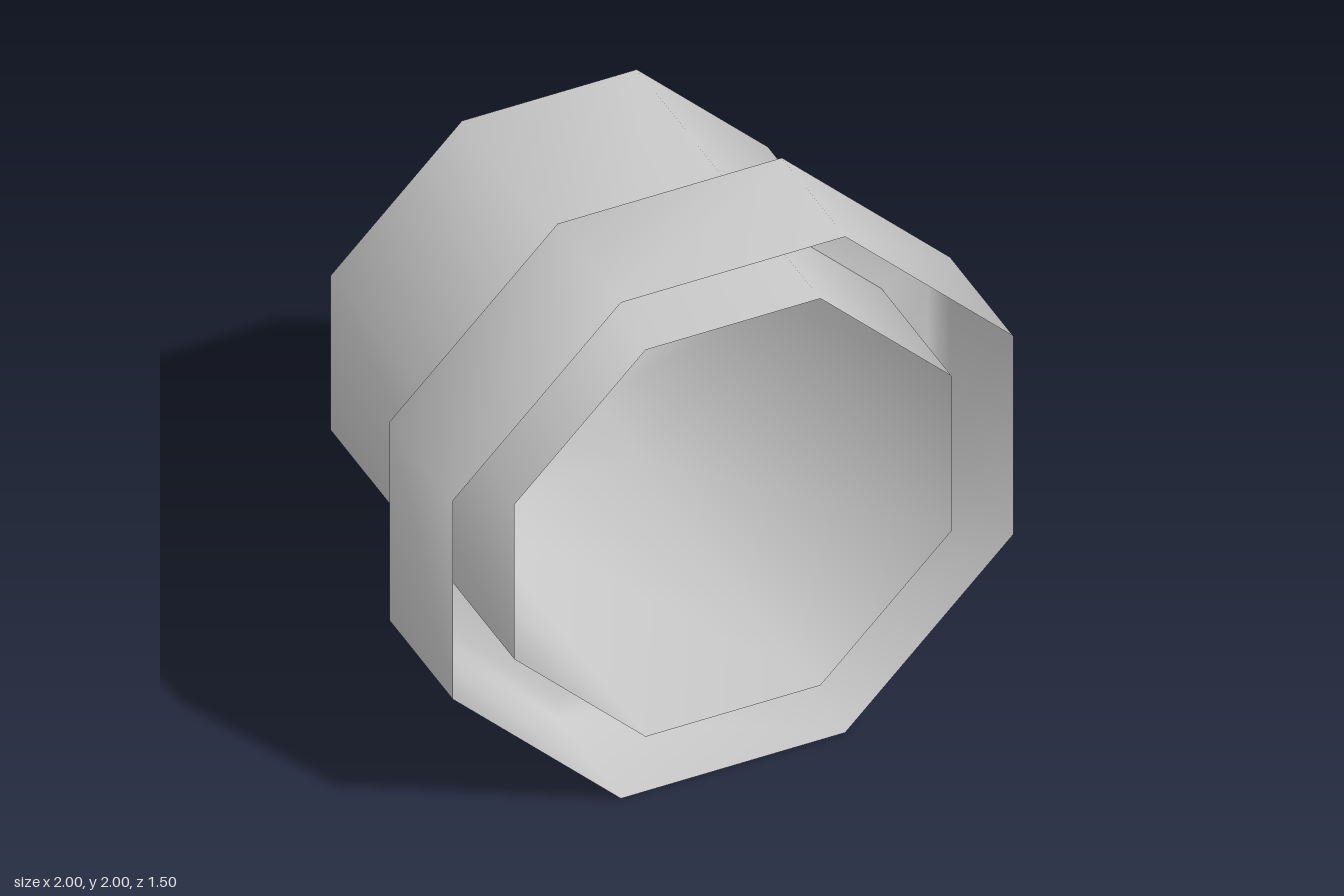
import * as THREE from 'three';

const material = new THREE.MeshStandardMaterial({ color: 0xcccccc, side: THREE.DoubleSide });

// Corners of an eight-sided section with flats facing x and y, as multiples of its half width
const OCTAGON = [[1, -0.4], [1, 0.4], [0.4, 1], [-0.4, 1], [-1, 0.4], [-1, -0.4], [-0.4, -1], [0.4, -1]];

// Thin smooth shell through octagonal rings [halfWidth, z], back to front; closed at the back if capped
function octagonShell(name, rings, capped) {
  const n = OCTAGON.length;
  const positions = [];
  const index = [];
  for (const [r, z] of rings) {
    for (const [x, y] of OCTAGON) positions.push(x * r, y * r, z);
  }
  for (let k = 0; k < rings.length - 1; k++) {
    for (let i = 0; i < n; i++) {
      const j = (i + 1) % n;
      const a = k * n + i, b = k * n + j;
      index.push(a, b, b + n, a, b + n, a + n);
    }
  }
  if (capped) {
    const centre = positions.length / 3;
    positions.push(0, 0, rings[0][1]);
    for (let i = 0; i < n; i++) index.push(centre, (i + 1) % n, i);
  }
  const geometry = new THREE.BufferGeometry();
  geometry.setAttribute('position', new THREE.Float32BufferAttribute(positions, 3));
  geometry.setIndex(index);
  geometry.computeVertexNormals();
  const mesh = new THREE.Mesh(geometry, material);
  mesh.name = name;
  mesh.position.y = 1;
  return mesh;
}

export function createModel() {
  const model = new THREE.Group();
  model.name = 'octagonalCap';

  // Inner cup: bevelled closed back, open at the front
  model.add(octagonShell('innerCup', [[0.63, -0.75], [0.78, -0.6], [0.78, 0.75]], true));

  // Outer collar: back flange touching the cup, small bevel, wall open at the front
  model.add(octagonShell('outerCollar', [[0.78, 0.235], [0.945, 0.235], [1, 0.285], [1, 0.75]], false));

  return model;
}
